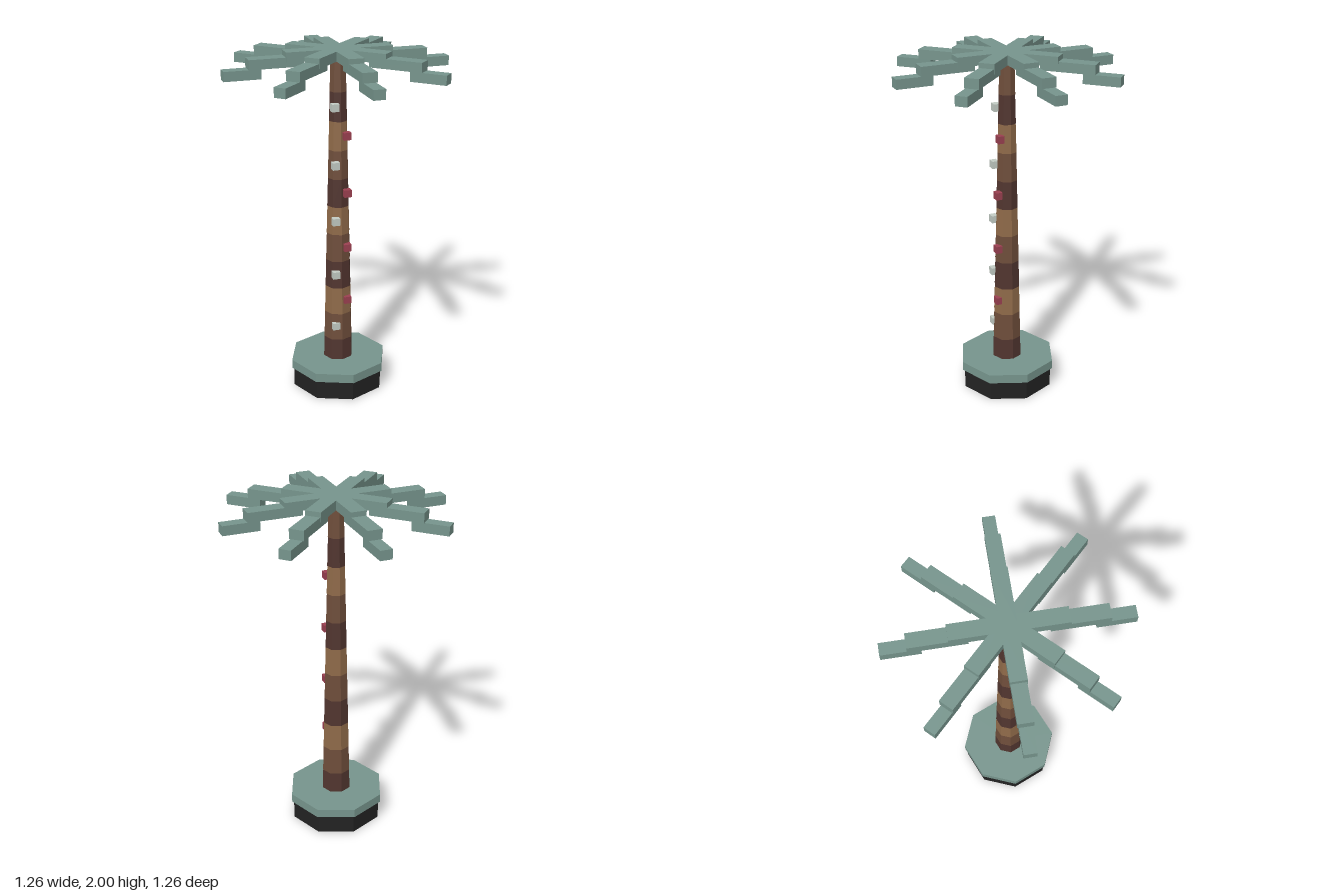
import * as THREE from 'three';

const mat = (name, color) => {
  const m = new THREE.MeshStandardMaterial({ color, flatShading: true });
  m.name = name;
  return m;
};

export function createModel() {
  const green = mat('leafGreen', 0x76948c);
  const black = mat('potBlack', 0x222222);
  const barks = [mat('darkBark', 0x51352f), mat('midBark', 0x6f4e3b), mat('lightBark', 0x8f6a49)];
  const red = mat('lampRed', 0x9a4050);
  const white = mat('lampWhite', 0xc2cbc3);

  const model = new THREE.Group();
  model.name = 'palmTree';

  const add = (parent, name, geometry, material, x, y, z) => {
    const mesh = new THREE.Mesh(geometry, material);
    mesh.name = name;
    mesh.position.set(x, y, z);
    parent.add(mesh);
    return mesh;
  };
  // Eight-sided drum between two heights
  const drum = (parent, name, rTop, rBottom, y0, y1, material) =>
    add(parent, name, new THREE.CylinderGeometry(rTop, rBottom, y1 - y0, 8), material, 0, (y0 + y1) / 2, 0);

  // Pot and its planted top
  drum(model, 'pot', 0.272, 0.272, 0, 0.113, black);
  drum(model, 'potTop', 0.284, 0.284, 0.113, 0.166, green);

  // Trunk: stacked tapering rings in three repeating browns
  const trunk = new THREE.Group();
  trunk.name = 'trunk';
  model.add(trunk);
  const rings = 11, start = 0.13, pitch = 0.1635;
  for (let i = 0; i < rings; i++) {
    const r = 0.088 - 0.004 * i;
    const y0 = start + pitch * i;
    const y1 = i === rings - 1 ? 1.948 : y0 + pitch;
    drum(trunk, 'trunkRing', r - 0.005, r, y0, y1, barks[i % 3]);
  }

  // Small lamps alternating up the front of the trunk
  const lamps = new THREE.Group();
  lamps.name = 'lamps';
  model.add(lamps);
  const fronts = [0.084, 0.088, 0.087, 0.088, 0.085, 0.087, 0.08, 0.074, 0.069];
  fronts.forEach((front, i) => {
    const isRed = i % 2 === 1;
    add(lamps, isRed ? 'redLamp' : 'whiteLamp', new THREE.BoxGeometry(0.042, 0.042, 0.036),
      isRed ? red : white, isRed ? 0.031 : -0.035, 0.384 + 0.1628 * i, front - 0.018);
  });

  // Crown: eight fronds, each stepping down in three blocks
  const steps = [ // inner end, outer end, width, centre height
    [0, 0.298, 0.086, 1.9735],
    [0.2, 0.498, 0.08, 1.9465],
    [0.43, 0.632, 0.066, 1.893],
  ];
  for (let i = 0; i < 8; i++) {
    const frond = new THREE.Group();
    frond.name = 'frond';
    frond.rotation.y = (i * Math.PI) / 4;
    model.add(frond);
    for (const [a, b, width, y] of steps) {
      add(frond, 'frondBlock', new THREE.BoxGeometry(b - a, 0.053, width), green, (a + b) / 2, y, 0);
    }
  }
  return model;
}
